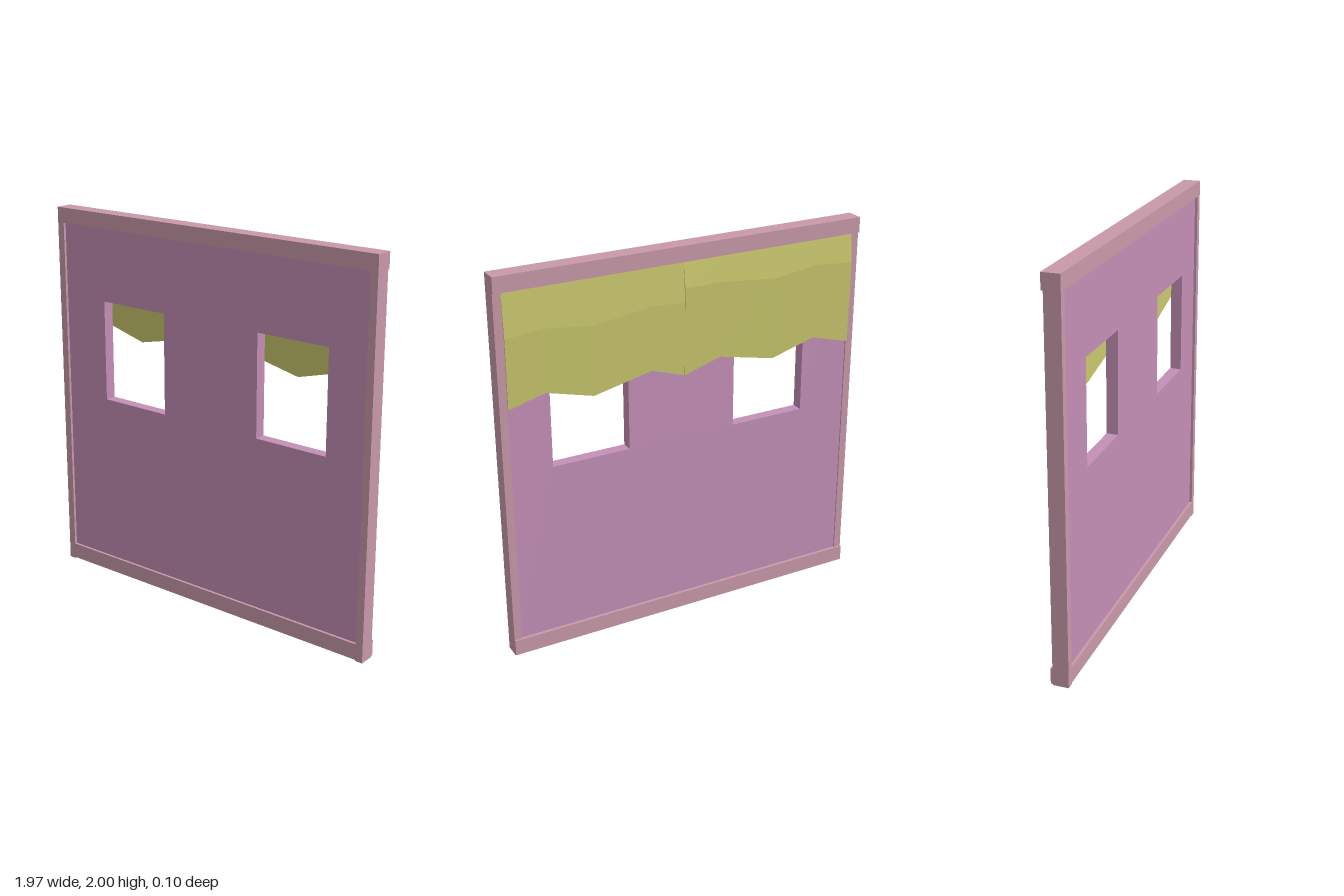
import * as THREE from 'three';

const frameMat = new THREE.MeshStandardMaterial({ name: 'dusty pink frame', color: 0xc999aa });
const panelMat = new THREE.MeshStandardMaterial({ name: 'mauve panel', color: 0xc48fb7 });
const clothMat = new THREE.MeshStandardMaterial({ name: 'olive yellow cloth', color: 0xc8c66c, flatShading: true });

// Box given by its minimum and maximum corners
function box(name, mat, [x0, y0, z0], [x1, y1, z1]) {
  const mesh = new THREE.Mesh(new THREE.BoxGeometry(x1 - x0, y1 - y0, z1 - z0), mat);
  mesh.position.set((x0 + x1) / 2, (y0 + y1) / 2, (z0 + z1) / 2);
  mesh.name = name;
  return mesh;
}

// Wall panel with two window openings
function wallPanel() {
  const rect = (target, x0, y0, x1, y1) => {
    target.moveTo(x0, y0).lineTo(x1, y0).lineTo(x1, y1).lineTo(x0, y1).closePath();
    return target;
  };
  const shape = rect(new THREE.Shape(), -0.95, 0.05, 0.95, 1.95);
  for (const x of [-0.68, 0.32]) shape.holes.push(rect(new THREE.Path(), x, 1.0, x + 0.41, 1.535));
  const geo = new THREE.ExtrudeGeometry(shape, { depth: 0.06, bevelEnabled: false });
  geo.translate(0, 0, -0.023);
  const mesh = new THREE.Mesh(geo, panelMat);
  mesh.name = 'wallPanel';
  return mesh;
}

// Thin folded cloth lofted through columns [x, crease height, hem height, bulge]
function cloth(name, columns) {
  const t = 0.005, pos = [], idx = [], n = 6;
  for (const [x, crease, hem, bulge] of columns) {
    const back = [[1.92, -0.031], [crease, -0.045 - bulge], [hem, -0.04 - bulge / 2]];
    for (const [y, z] of back) pos.push(x, y, z);
    for (const [y, z] of back.reverse()) pos.push(x, y, z + t);
  }
  const last = (columns.length - 1) * n;
  for (let i = 0; i < last; i += n) {
    for (let j = 0; j < n; j++) {
      const k = (j + 1) % n;
      idx.push(i + j, i + n + j, i + n + k, i + j, i + n + k, i + k);
    }
  }
  // End caps
  for (const [a, b, c] of [[0, 1, 4], [0, 4, 5], [1, 2, 3], [1, 3, 4]]) {
    idx.push(a, b, c, last + a, last + c, last + b);
  }
  const geo = new THREE.BufferGeometry();
  geo.setAttribute('position', new THREE.Float32BufferAttribute(pos, 3));
  geo.setIndex(idx);
  geo.computeVertexNormals();
  const mesh = new THREE.Mesh(geo, clothMat);
  mesh.name = name;
  return mesh;
}

export function createModel() {
  const group = new THREE.Group();
  group.name = 'windowWall';
  group.add(wallPanel());

  // Frame: rails stand slightly proud of the posts at the back
  group.add(box('topRail', frameMat, [-0.985, 1.92, -0.04], [0.985, 2, 0.051]));
  group.add(box('bottomRail', frameMat, [-0.985, 0.006, -0.04], [0.985, 0.09, 0.051]));
  for (const s of [-1, 1]) {
    const xs = [0.945 * s, 0.985 * s].sort((a, b) => a - b);
    group.add(box(s > 0 ? 'leftPost' : 'rightPost', frameMat, [xs[0], 0, -0.03], [xs[1], 1.92, 0.051]));
  }

  // Cloth hung behind the windows, parted by a small slit near the middle
  group.add(cloth('rightCloth', [
    [-0.945, 1.77, 1.34, 0],
    [-0.73, 1.79, 1.4, 0.001],
    [-0.485, 1.76, 1.333, 0.004],
    [-0.18, 1.79, 1.4, 0.001],
    [0.02, 1.79, 1.34, 0.002],
  ]));
  group.add(cloth('leftCloth', [
    [0.02, 1.72, 1.34, 0],
    [0.2, 1.73, 1.4, 0],
    [0.51, 1.69, 1.333, 0.002],
    [0.757, 1.72, 1.4, 0],
    [0.945, 1.7, 1.35, 0],
  ]));
  return group;
}
